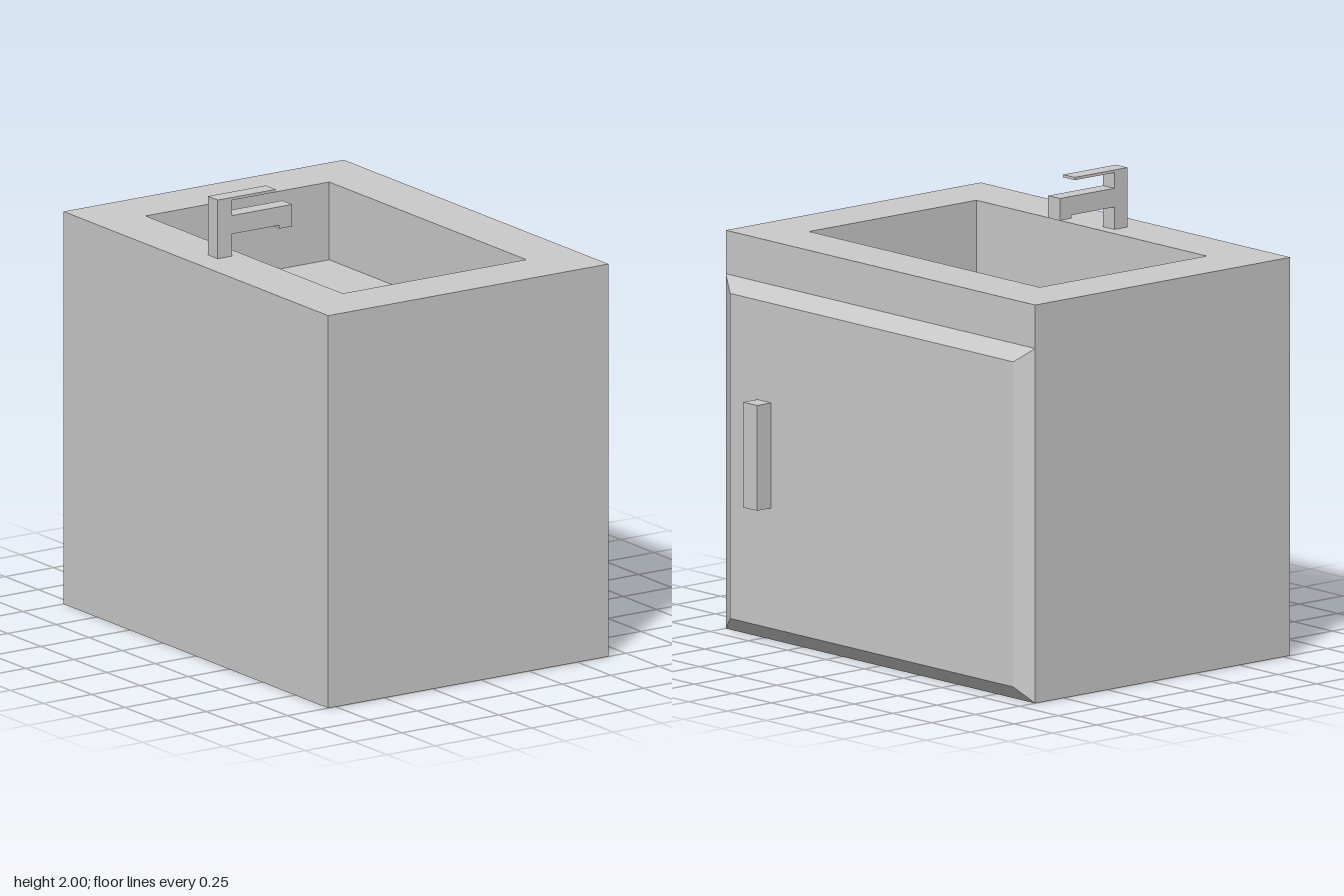
import * as THREE from 'three';

const material = new THREE.MeshStandardMaterial({ color: 0xcccccc, flatShading: true });
const thinMaterial = new THREE.MeshStandardMaterial({ color: 0xcccccc, flatShading: true, side: THREE.DoubleSide });

// Box given by its [min, max] range on each axis
function rangeBox([x0, x1], [y0, y1], [z0, z1]) {
  return new THREE.BoxGeometry(x1 - x0, y1 - y0, z1 - z0)
    .translate((x0 + x1) / 2, (y0 + y1) / 2, (z0 + z1) / 2);
}

// Same box with its top face left out
function openBox(x, y, z) {
  const geometry = rangeBox(x, y, z);
  const index = Array.from(geometry.index.array);
  index.splice(12, 6);
  geometry.setIndex(index);
  geometry.clearGroups();
  return geometry;
}

function rectangle(PathType, [x0, x1], [y0, y1]) {
  return new PathType([[x0, y0], [x1, y0], [x1, y1], [x0, y1]].map((p) => new THREE.Vector2(...p)));
}

export function createModel() {
  const group = new THREE.Group();
  const add = (name, geometry, mat = material) => {
    const mesh = new THREE.Mesh(geometry, mat);
    mesh.name = name;
    group.add(mesh);
  };

  const top = 1.74;
  const bodyX = [-0.79, 0.66], bodyZ = [-1, 1];
  const basinX = [-0.54, 0.41], basinZ = [-0.745, 0.745];

  // Cabinet shell, countertop with its opening, and the sunken basin
  add('cabinet', openBox(bodyX, [0, top], bodyZ), thinMaterial);
  const counter = rectangle(THREE.Shape, bodyX, bodyZ);
  counter.holes.push(rectangle(THREE.Path, basinX, basinZ));
  add('countertop', new THREE.ShapeGeometry(counter).rotateX(-Math.PI / 2).translate(0, top, 0), thinMaterial);
  add('basin', openBox(basinX, [1.395, top], basinZ), thinMaterial);

  // Door: a slab whose outer face is drawn in to make the bevel
  const door = rangeBox([0.66, 0.71], [0, 1.55], [-1, 1]);
  const p = door.attributes.position;
  for (let i = 0; i < p.count; i++) {
    if (p.getX(i) < 0.69) continue;
    p.setY(i, p.getY(i) > 0.5 ? 1.485 : 0.065);
    p.setZ(i, Math.sign(p.getZ(i)) * 0.915);
  }
  door.computeVertexNormals();
  add('door', door);
  add('doorHandle', rangeBox([0.71, 0.79], [0.59, 1.05], [0.65, 0.74]));

  // Faucet: post, spout with a short lip, and thin lever in one profile
  const profile = [
    [-0.67, top], [-0.595, top], [-0.595, 1.838], [-0.35, 1.838], [-0.35, 1.823], [-0.285, 1.823],
    [-0.285, 1.92], [-0.595, 1.92], [-0.595, 1.988], [-0.37, 1.988], [-0.37, 2], [-0.67, 2],
  ].map((q) => new THREE.Vector2(...q));
  add('faucet', new THREE.ExtrudeGeometry(new THREE.Shape(profile), { depth: 0.075, bevelEnabled: false })
    .translate(0, 0, -0.085));

  return group;
}
